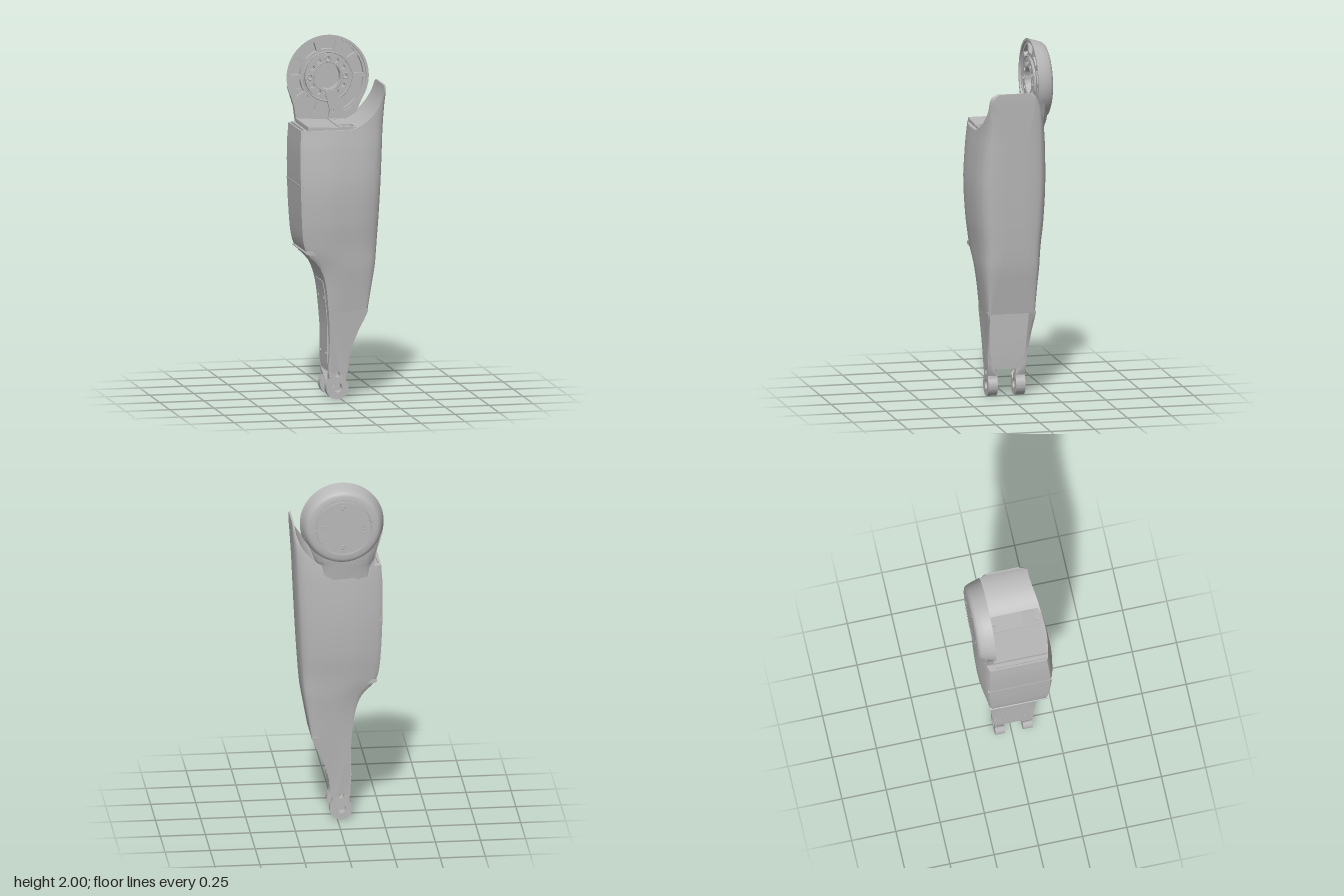
import * as THREE from 'three';
import { toCreasedNormals } from 'three/addons/utils/BufferGeometryUtils.js';

const grey = new THREE.MeshStandardMaterial({ color: 0xb8b8b8 });
grey.name = 'grey';

const HUB = { x: -0.02, y: 1.767, clear: 0.26 };
const DECK = 1.515;

// Body envelope: y, xMin, xMax, zMax, zMin, squareness of section
const KEYS = [
  [0.49, -0.075, 0.145, 0.145, -0.13, 1],
  [0.65, -0.095, 0.175, 0.166, -0.147, 0.6],
  [0.75, -0.132, 0.193, 0.18, -0.16, 0.35],
  [0.82, -0.198, 0.201, 0.188, -0.168, 0.2],
  [0.88, -0.222, 0.206, 0.195, -0.175, 0.1],
  [1.0, -0.234, 0.215, 0.21, -0.19, 0],
  [1.2, -0.242, 0.226, 0.22, -0.2, 0],
  [1.4, -0.243, 0.236, 0.208, -0.197, 0],
  [1.52, -0.236, 0.241, 0.194, -0.188, 0.1],
  [1.64, -0.236, 0.246, 0.182, -0.165, 0.45],
  [1.71, -0.236, 0.249, 0.174, -0.13, 0.75],
  [1.735, -0.236, 0.249, 0.162, -0.115, 0.8],
  [1.75, -0.236, 0.249, 0.135, -0.092, 0.8],
];

// Half outline of a section, from the left edge to the right edge
const OUTLINE = new THREE.SplineCurve([
  [0, 0.82], [0.08, 0.9], [0.35, 1], [0.7, 0.96], [0.86, 0.88],
  [0.94, 0.78], [0.98, 0.64], [1, 0.3], [1, 0],
].map(([u, v]) => new THREE.Vector2(u, v)));

function envelope(y) {
  let i = 0;
  while (i < KEYS.length - 2 && y > KEYS[i + 1][0]) i++;
  const a = KEYS[i], b = KEYS[i + 1], p = KEYS[Math.max(i - 1, 0)], n = KEYS[Math.min(i + 2, KEYS.length - 1)];
  const h = b[0] - a[0], t = (y - a[0]) / h;
  return a.map((v, k) => {
    const m0 = (b[k] - p[k]) / (b[0] - p[0]) * h, m1 = (n[k] - v) / (n[0] - a[0]) * h;
    return v * (1 + 2 * t) * (1 - t) ** 2 + m0 * t * (1 - t) ** 2 + b[k] * t * t * (3 - 2 * t) + m1 * t * t * (t - 1);
  });
}

// One closed ring of the body, cut off left of x = cut
function ring(y, cut, n = 28) {
  const [, x0, x1, zf, zb, box] = envelope(y);
  let lo = 0, hi = 0.8;
  if (cut > x0) for (let k = 0; k < 30; k++) {
    const m = (lo + hi) / 2;
    if (x0 + (x1 - x0) * OUTLINE.getPoint(m).x < cut) lo = m; else hi = m;
  }
  const front = [], back = [];
  for (let i = 0; i <= n; i++) {
    const q = OUTLINE.getPoint(lo + (1 - lo) * i / n);
    const v = i === n ? 0 : q.y + box * (1 - q.y) * 0.85;
    const x = x0 + (x1 - x0) * Math.min(q.x, 1);
    front.push([x, y, v * zf]);
    if (i < n) back.unshift([x, y, v * zb]);
  }
  return [...front, ...back];
}

// Skin a stack of rings and close both ends
function loft(rings) {
  const n = rings[0].length, top = (rings.length - 1) * n, index = [];
  for (let j = 0; j < rings.length - 1; j++) for (let i = 0; i < n; i++) {
    const a = j * n + i, b = j * n + (i + 1) % n;
    index.push(a, b, b + n, a, b + n, a + n);
  }
  for (let i = 1; i < n - 1; i++) index.push(0, i + 1, i, top, top + i, top + i + 1);
  const g = new THREE.BufferGeometry();
  g.setAttribute('position', new THREE.Float32BufferAttribute(rings.flat(2), 3));
  g.setIndex(index);
  return toCreasedNormals(g, 0.55);
}

function bodyGeometry() {
  const rings = [];
  for (let i = 0; i <= 36; i++) rings.push(ring(0.49 + (DECK - 0.49) * i / 36, -1));
  // Above the deck only the guard goes on, hollowed around the hub
  for (let i = 0; i <= 22; i++) {
    const y = DECK + (1.75 - DECK) * i / 22;
    rings.push(ring(y, HUB.x + Math.sqrt(HUB.clear ** 2 - (y - HUB.y) ** 2)));
  }
  return loft(rings);
}

// Swelling on the back that carries the hub: y, xLeft, xRight, zFront, zBack
function neckGeometry() {
  const arch = [[0, 0], [1, 0], [0.95, 0.45], [0.85, 0.82], [0.7, 0.97], [0.5, 1], [0.3, 0.97], [0.15, 0.82], [0.05, 0.45]];
  return loft([
    [1.34, -0.2, 0.12, -0.13, -0.18], [1.46, -0.21, 0.135, -0.13, -0.195], [1.53, -0.2, 0.13, -0.13, -0.206],
    [1.56, -0.2, 0.137, -0.165, -0.21], [1.61, -0.212, 0.155, -0.165, -0.215], [1.7, -0.235, 0.195, -0.165, -0.216],
  ].map(([y, l, r, zf, zb]) => arch.map(([u, v]) => [l + (r - l) * u, y, zf + (zb - zf) * v])));
}

const poly = pts => new THREE.Shape(pts.map(([x, y]) => new THREE.Vector2(x, y)));
const circle = (x, y, r) => new THREE.Path().absarc(x, y, r, 0, Math.PI * 2, true);

// Extrude a front-view shape between two depths
function slab(shape, z0, z1) {
  const g = new THREE.ExtrudeGeometry(shape, { depth: z1 - z0, bevelEnabled: false, curveSegments: 32 });
  return toCreasedNormals(g.translate(0, 0, z0), 0.5);
}

// Fork cheek: thick lug below, thin wall leaning outwards above
function cheekGeometry(shape, inner, outer, slope) {
  const g = slab(shape, Math.min(inner, outer), Math.max(inner, outer)), p = g.attributes.position;
  for (let i = 0; i < p.count; i++) {
    const rise = p.getY(i) - 0.155;
    if (rise <= 0) continue;
    const isInner = Math.abs(p.getZ(i) - inner) < 1e-4;
    p.setZ(i, outer + rise * slope - (isInner ? Math.sign(outer) * 0.012 : 0));
  }
  g.computeVertexNormals();
  return toCreasedNormals(g, 0.5);
}

export function createModel() {
  const model = new THREE.Group();
  const add = (name, g, parent = model) => {
    const m = new THREE.Mesh(g, grey);
    m.name = name;
    parent.add(m);
  };

  add('bodyShell', bodyGeometry());
  add('neck', neckGeometry());
  add('neckRim', slab(poly([[-0.243, 1.715], [-0.208, 1.6], [-0.195, 1.5], [0.13, 1.5], [0.145, 1.57], [0.195, 1.68], [0.1, 1.58], [-0.02, 1.555], [-0.14, 1.58]]), -0.17, -0.13));

  // Deck with its lid, pocket, bolts and side rail
  add('deck', slab(poly([[-0.2, 1.48], [0.12, 1.48], [0.07, 1.522], [-0.2, 1.538]]), -0.135, 0.172));
  const lid = poly([[-0.022, -0.178], [0.07, -0.178], [0.07, 0.12], [-0.022, 0.12]]);
  lid.holes.push(poly([[-0.016, -0.145], [-0.016, -0.08], [0.066, -0.08], [0.066, -0.145]]), circle(0.01, 0.078, 0.008));
  add('deckLid', slab(lid, 0, 0.008).rotateX(-Math.PI / 2).translate(0, 1.524, 0));
  for (const x of [0.002, 0.044])
    add('deckBolt', new THREE.CylinderGeometry(0.008, 0.008, 0.006, 16).translate(x, 1.534, 0.16));
  add('deckRail', new THREE.BoxGeometry(0.008, 0.02, 0.28).translate(-0.222, 1.515, 0.02));

  // Lower fork: two cheeks with pierced lugs, and the web between them
  const left = [[-0.076, 0.5], [-0.071, 0.42], [-0.067, 0.34], [-0.067, 0.26], [-0.071, 0.2]];
  const cheek = poly([...left, [-0.072, 0.155], [-0.065, 0.115]]);
  cheek.absarc(-0.02, 0.063, 0.063, Math.PI * 0.8, Math.PI * 2.2, false);
  for (const [x, y] of [[0.026, 0.12], [0.04, 0.155], [0.045, 0.19], [0.048, 0.24], [0.066, 0.31], [0.095, 0.385], [0.125, 0.445], [0.145, 0.49], [0.145, 0.5]]) cheek.lineTo(x, y);
  cheek.holes.push(circle(-0.02, 0.065, 0.027), circle(-0.02, 0.138, 0.016));
  add('frontCheek', cheekGeometry(cheek, 0.062, 0.115, 0.088));
  add('backCheek', cheekGeometry(cheek, -0.042, -0.095, -0.1));
  const web = slab(poly([...left, [-0.068, 0.158], [0.039, 0.158], [0.042, 0.22], [0.043, 0.3], [0.044, 0.5]]), -0.09, 0.11);
  const wp = web.attributes.position;
  for (let i = 0; i < wp.count; i++) wp.setZ(i, wp.getZ(i) + Math.sign(wp.getZ(i)) * (wp.getY(i) - 0.155) * 0.088);
  add('forkWeb', web);

  // Cover panel on the rear edge of the shin, with screws
  const ys = [0.2, 0.28, 0.36, 0.44, 0.52, 0.6, 0.66];
  const edge = y => (y < 0.49 ? -0.071 : envelope(y)[1]);
  const strip = poly([...ys.map(y => [edge(y) - 0.004, y]), ...ys.slice().reverse().map(y => [edge(y) + 0.02, y])]);
  add('shinPanel', slab(strip, -0.085, 0.095));
  for (const y of [0.25, 0.56]) for (const z of [-0.065, 0.075])
    add('panelScrew', new THREE.CylinderGeometry(0.01, 0.01, 0.01, 16).rotateZ(Math.PI / 2).translate(edge(y) - 0.003, y, z));

  // Lens-shaped vents through the rear edge
  for (const [x, y, w, z0, z1] of [[-0.172, 0.832, 0.042, -0.155, 0.175], [-0.226, 1.205, 0.018, -0.172, 0.19]])
    add('sideVent', slab(new THREE.Shape().absellipse(x, y, w, 0.013, 0, Math.PI * 2, false), z0, z1));

  // Hub housing, turned around its own axis
  const hub = new THREE.Group();
  hub.name = 'hub';
  hub.position.set(HUB.x, HUB.y, 0);
  model.add(hub);
  const profile = [[0, -0.221], [0.15, -0.221], [0.151, -0.215], [0.156, -0.215], [0.157, -0.222], [0.185, -0.221], [0.2, -0.215],
    [0.21, -0.203], [0.221, -0.17], [0.233, -0.128], [0.219, -0.128], [0.215, -0.17], [0, -0.17]];
  const housing = new THREE.LatheGeometry(profile.map(([r, z]) => new THREE.Vector2(r, z)), 72).rotateX(Math.PI / 2);
  add('hubHousing', toCreasedNormals(housing, 0.55), hub);

  // Ribbed web with pockets
  const polar = (r, a) => [r * Math.cos(a), r * Math.sin(a)];
  const ribs = new THREE.Shape().absarc(0, 0, 0.218, 0, Math.PI * 2, false);
  ribs.holes.push(circle(0, 0, 0.13));
  for (let k = 0; k < 10; k++) {
    if (k === 5) continue;
    const mid = Math.PI / 2 + k * Math.PI / 5, pts = [];
    for (let i = 0; i <= 6; i++) pts.push(polar(0.205, mid + (i / 3 - 1) * 0.26));
    for (let i = 6; i >= 0; i--) pts.push(polar(0.153, mid + (i / 3 - 1) * 0.23));
    ribs.holes.push(poly(pts));
  }
  add('ribWeb', slab(ribs, -0.172, -0.138), hub);

  // Bearing ring with its bolt circle
  const bearing = new THREE.Shape().absarc(0, 0, 0.128, 0, Math.PI * 2, false);
  bearing.holes.push(circle(0, 0, 0.072));
  for (let k = 0; k < 12; k++) bearing.holes.push(circle(...polar(0.1, k * Math.PI / 6), 0.013));
  add('bearingRing', slab(bearing, -0.172, -0.125), hub);
  for (const r of [0.136, 0.08])
    add('bearingLip', new THREE.TorusGeometry(r, 0.004, 8, 64).translate(0, 0, -0.127), hub);

  // Screws: four on the bearing, four on the outer cap
  for (let k = 0; k < 4; k++) {
    const [x, y] = polar(0.1, k * Math.PI / 2), [cx, cy] = polar(0.115, k * Math.PI / 2);
    add('bearingBush', new THREE.TorusGeometry(0.015, 0.004, 8, 20).translate(x, y, -0.126), hub);
    add('capScrew', new THREE.TorusGeometry(0.011, 0.004, 8, 20).translate(cx, cy, -0.2185), hub);
  }

  // Strut from the hub to the deck
  const strut = poly([[-0.038, 1.69], [-0.01, 1.58], [-0.025, 1.51], [0.07, 1.51], [0.07, 1.58], [0.03, 1.695]]);
  strut.holes.push(circle(0.005, 1.575, 0.009));
  add('strut', slab(strut, -0.165, -0.115));
  return model;
}
